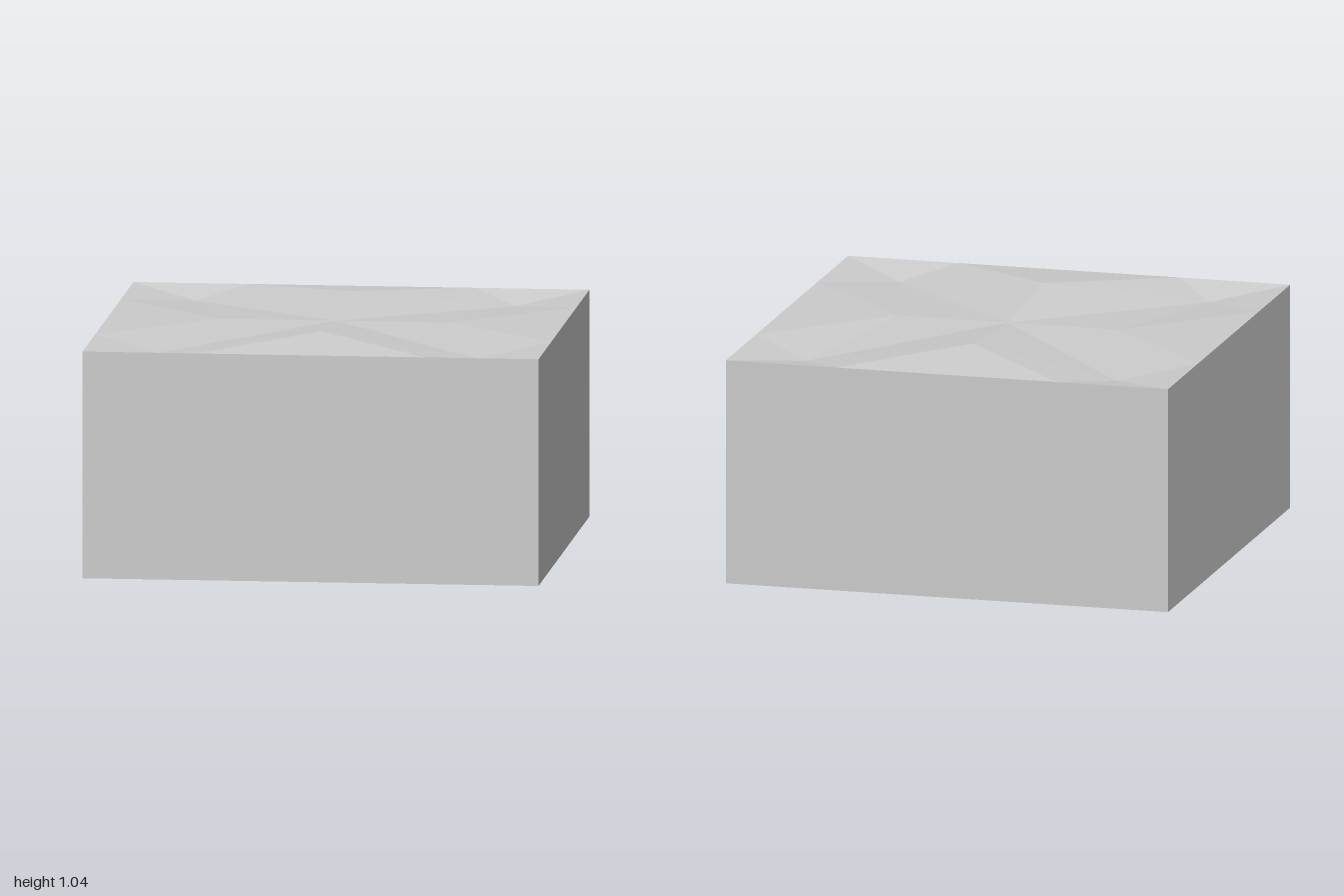
import * as THREE from 'three';

export function createModel() {
  const group = new THREE.Group();
  group.name = 'facetedBlock';
  const grey = new THREE.MeshStandardMaterial({ color: 0xcccccc });
  grey.name = 'light grey';

  // Block: four walls and the base, left open where the relief sits
  const blockGeo = new THREE.BoxGeometry(2, 1, 2);
  const index = Array.from(blockGeo.index.array);
  index.splice(12, 6); // drop the flat top face
  blockGeo.setIndex(index);
  blockGeo.clearGroups();
  blockGeo.translate(0, 0.5, 0);
  const block = new THREE.Mesh(blockGeo, grey);
  block.name = 'block';
  group.add(block);

  // Relief: one quarter of the top, mirrored into all four
  const centre = [0, 1, 0];
  const peak = [0, 1.042, 0.58];
  const valley = [0.7, 0.96, 0.755];
  const corner = [1, 1, 1];
  const frontEdge = [0.5, 1, 1];
  const sideEdge = [1, 1, 0.5];
  const sideInner = [0.5, 1, 0];
  const frontMid = [0, 1, 1];
  const sideMid = [1, 1, 0];
  const facets = [
    [centre, peak, valley],
    [peak, frontEdge, valley],
    [peak, frontMid, frontEdge],
    [valley, frontEdge, corner],
    [valley, corner, sideEdge],
    [sideInner, valley, sideEdge],
    [centre, valley, sideInner],
    [sideInner, sideEdge, sideMid],
  ];
  const positions = [];
  for (const sx of [1, -1]) {
    for (const sz of [1, -1]) {
      for (const facet of facets) {
        // A single mirror flips the winding, so reverse the corners
        const corners = sx * sz > 0 ? facet : [...facet].reverse();
        for (const [x, y, z] of corners) positions.push(x * sx, y, z * sz);
      }
    }
  }
  const reliefGeo = new THREE.BufferGeometry();
  reliefGeo.setAttribute('position', new THREE.Float32BufferAttribute(positions, 3));
  reliefGeo.computeVertexNormals(); // separate corners give flat facets
  const relief = new THREE.Mesh(reliefGeo, grey);
  relief.name = 'topRelief';
  group.add(relief);

  return group;
}
